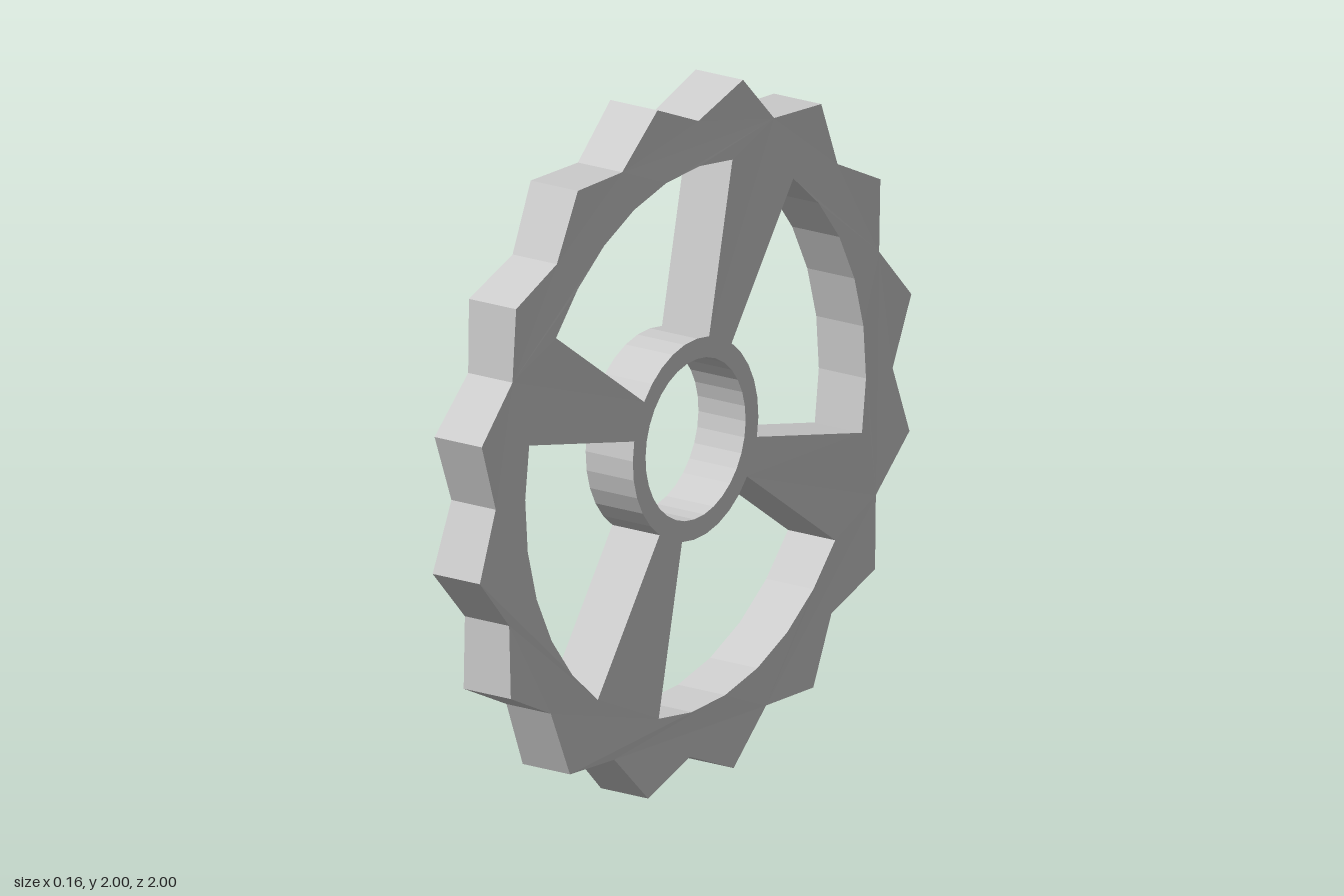
import * as THREE from 'three';

const TEETH = 16, TIP = 1.0154, VALLEY = 0.92;
const RIM_IN = 0.79, HUB_OUT = 0.291, HUB_IN = 0.232;
const HALF = 0.082, HALF_VALLEY = 0.077;
const PHASE = 10, STEP = 11.25; // degrees

const polar = (r, deg) => new THREE.Vector2(
  r * Math.cos(THREE.MathUtils.degToRad(deg)),
  r * Math.sin(THREE.MathUtils.degToRad(deg)));

// points along an arc, one every STEP degrees
const arc = (r, start, count) =>
  Array.from({ length: count }, (_, i) => polar(r, start + i * STEP));

export function createModel() {
  const group = new THREE.Group();
  group.name = 'gearWheel';

  // toothed outline: tips and valleys alternate
  const outline = [];
  for (let i = 0; i < TEETH * 2; i++) {
    outline.push(polar(i % 2 ? VALLEY : TIP, PHASE + i * STEP));
  }
  const shape = new THREE.Shape(outline);

  // round bore
  shape.holes.push(new THREE.Path(arc(HUB_IN, PHASE, 32)));

  // four windows, leaving four wedge-shaped spokes between them
  for (let k = 0; k < 4; k++) {
    const start = -12.5 + 90 * k;
    const outer = arc(RIM_IN, start, 7);
    const inner = arc(HUB_OUT, start, 7).reverse();
    shape.holes.push(new THREE.Path([...outer, ...inner]));
  }

  const geometry = new THREE.ExtrudeGeometry(shape, { depth: HALF * 2, bevelEnabled: false });
  geometry.translate(0, 0, -HALF);

  // the wheel is slightly thinner at the tooth valleys
  const pos = geometry.attributes.position;
  for (let i = 0; i < pos.count; i++) {
    const r = Math.hypot(pos.getX(i), pos.getY(i));
    if (Math.abs(r - VALLEY) < 0.01) pos.setZ(i, Math.sign(pos.getZ(i)) * HALF_VALLEY);
  }

  // turn the axle along x and stand the wheel on the ground
  geometry.rotateY(Math.PI / 2);
  geometry.translate(0, 1, 0);
  geometry.computeVertexNormals();

  const wheel = new THREE.Mesh(geometry,
    new THREE.MeshStandardMaterial({ color: 0xcccccc, flatShading: true }));
  wheel.name = 'toothedWheel';
  group.add(wheel);
  return group;
}
